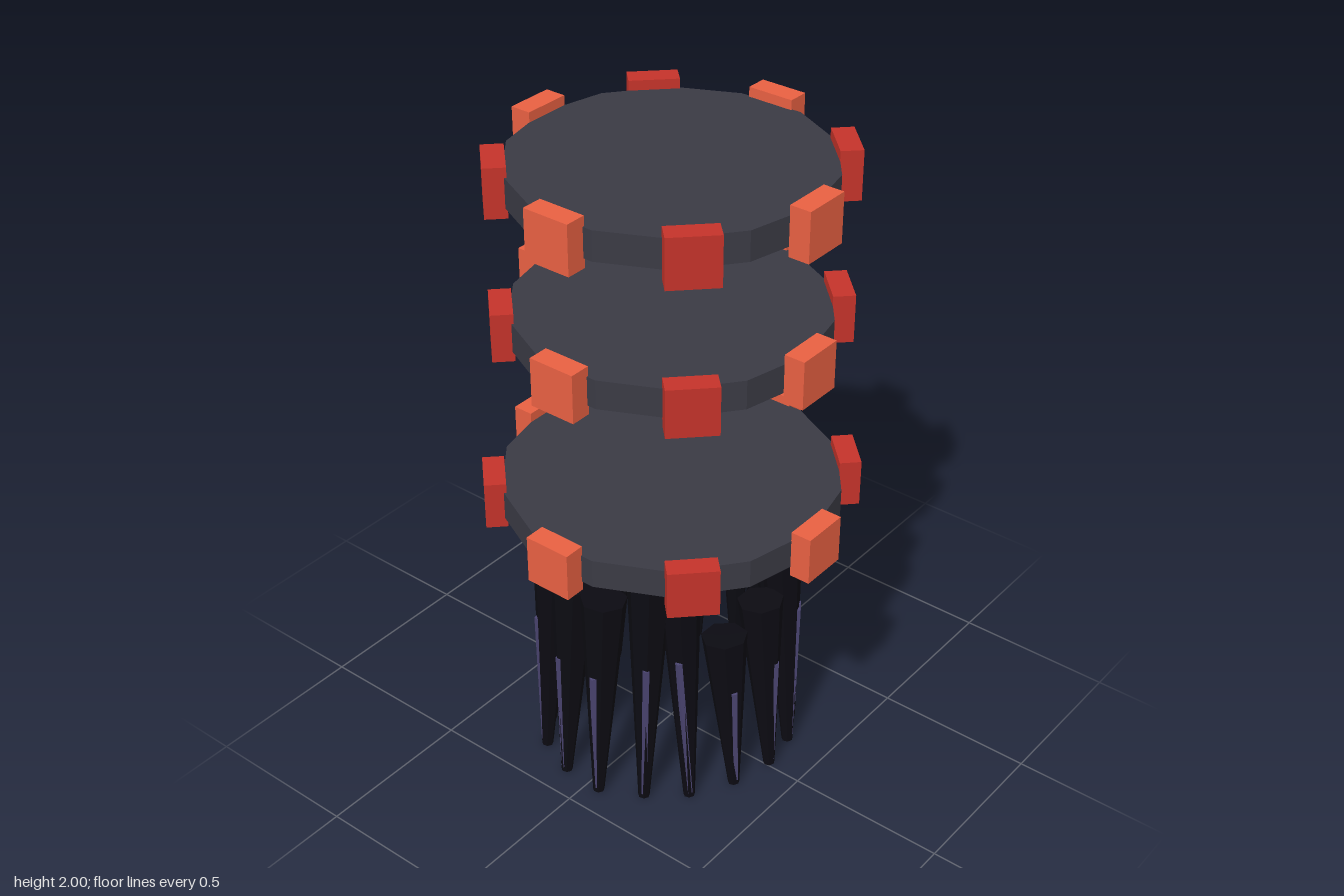
import * as THREE from 'three';

const mat = (color) => new THREE.MeshStandardMaterial({ color, flatShading: true });
const discMat = mat(0x3a3a44);
const orangeMat = mat(0xe86042);
const redMat = mat(0xc4332a);
const spikeMat = mat(0x0c0b12);
const veinMat = mat(0x4a4470);

function add(parent, name, geometry, material) {
  const mesh = new THREE.Mesh(geometry, material);
  mesh.name = name;
  parent.add(mesh);
  return mesh;
}

// Fourteen-sided disc with eight blocks around its rim
function createTier(name, radius, y) {
  const tier = new THREE.Group();
  tier.name = name;
  tier.position.y = y;
  add(tier, 'disc', new THREE.CylinderGeometry(radius, radius, 0.09, 14), discMat);
  for (let i = 0; i < 8; i++) {
    const a = (i * Math.PI) / 4;
    const block = add(tier, 'rimBlock', new THREE.BoxGeometry(0.148, 0.15, 0.065), i % 2 ? redMat : orangeMat);
    const r = radius + 0.015;
    block.position.set(Math.sin(a) * r, 0, Math.cos(a) * r);
    block.rotation.y = a;
  }
  return tier;
}

// Tapered rod running from a to b
function addRod(parent, name, a, b, rBottom, rTop, sides, material) {
  const dir = b.clone().sub(a);
  const rod = add(parent, name, new THREE.CylinderGeometry(rTop, rBottom, dir.length(), sides), material);
  rod.position.copy(a).add(b).multiplyScalar(0.5);
  rod.quaternion.setFromUnitVectors(new THREE.Vector3(0, 1, 0), dir.normalize());
}

// Each spike: angle in degrees from the front at the tip and at the top, radius at the tip, height
const spikes = [
  [2, 2, 0.38, 0.62], [21, 22, 0.385, 0.84], [38, 39, 0.38, 0.71], [57, 58, 0.38, 0.62], [76, 76, 0.385, 0.65],
  [97, 95, 0.41, 0.83], [117, 116, 0.425, 0.8], [138, 138, 0.405, 0.78], [160, 160, 0.355, 0.83],
  [183, 183, 0.345, 0.6], [203, 202, 0.36, 0.73], [221, 222, 0.385, 0.83], [238, 238, 0.415, 0.82],
  [257, 257, 0.415, 0.71], [276, 276, 0.415, 0.71], [296, 298, 0.385, 0.82], [317, 312, 0.375, 0.87],
  [340, 338, 0.37, 0.55],
];

// Ring of uneven spikes pointing down, each with a thin lighter vein outside
function createSpikes() {
  const ring = new THREE.Group();
  ring.name = 'spikeRing';
  const at = (deg, radius, y) => {
    const a = THREE.MathUtils.degToRad(deg);
    return new THREE.Vector3(radius * Math.sin(a), y, radius * Math.cos(a));
  };
  for (const [tipDeg, topDeg, r, h] of spikes) {
    addRod(ring, 'spike', at(tipDeg, r, 0.002), at(topDeg, r - 0.05, h), 0.018, 0.071, 7, spikeMat);
    addRod(ring, 'vein', at(tipDeg, r + 0.006, 0.02), at(topDeg, r + 0.012, 0.5 * h + 0.1), 0.012, 0.012, 5, veinMat);
  }
  return ring;
}

export function createModel() {
  const model = new THREE.Group();
  model.name = 'tieredTower';
  model.add(
    createTier('bottomTier', 0.508, 0.915),
    createTier('middleTier', 0.463, 1.48),
    createTier('topTier', 0.463, 1.925),
    createSpikes()
  );
  return model;
}
